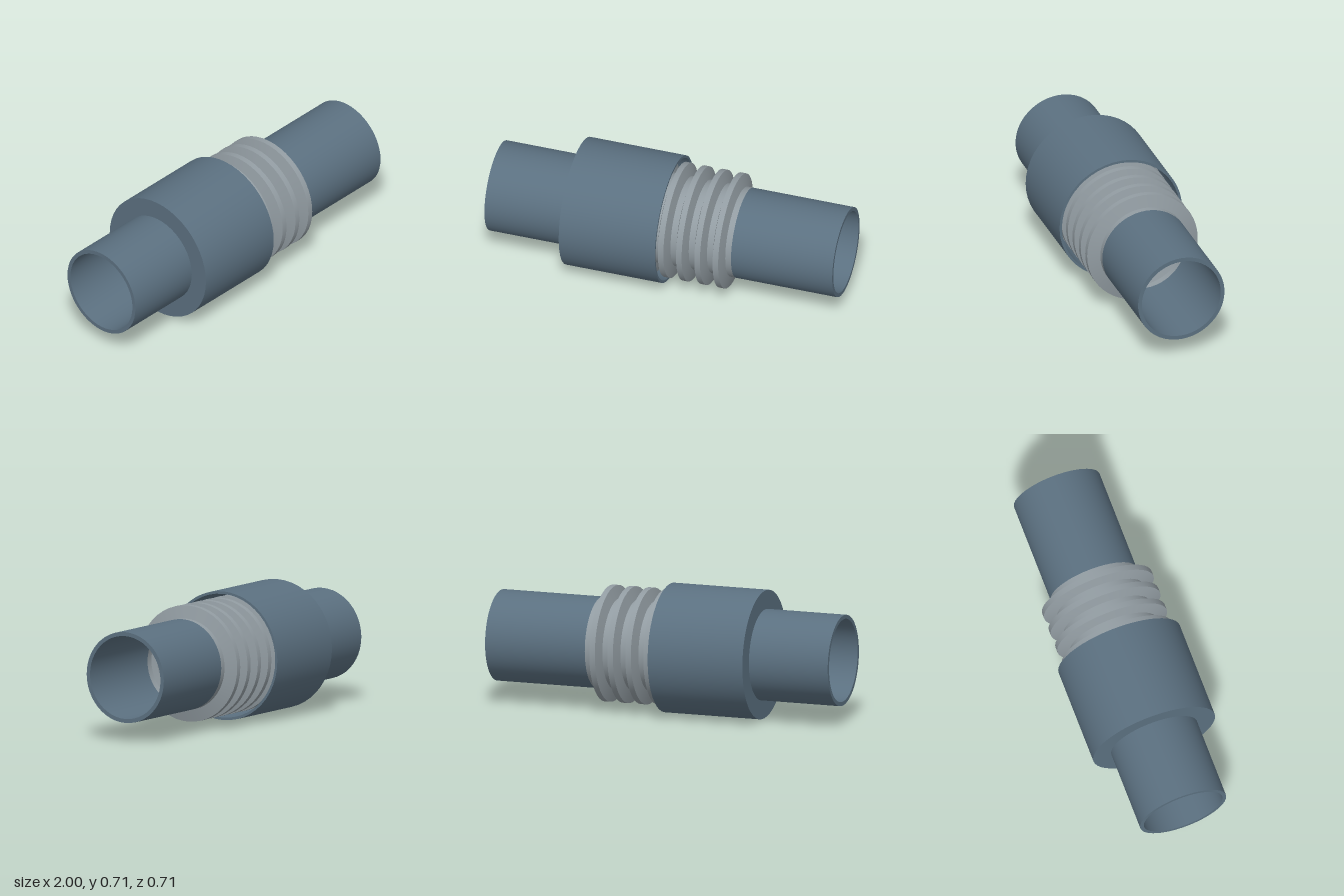
import * as THREE from 'three';
import { toCreasedNormals } from 'three/addons/utils/BufferGeometryUtils.js';

const AXIS_HEIGHT = 0.357;
const SEGMENTS = 48;
const BORE = 0.23, PIPE = 0.252;

const steel = new THREE.MeshStandardMaterial({ color: 0x5b7080 });
const bareMetal = new THREE.MeshStandardMaterial({ color: 0x929ca2 });

// Revolves a closed profile of [x, radius] pairs about the x axis.
// The outer wall runs towards +x, the inner wall runs back.
function revolve(name, profile, material) {
  const points = [...profile, profile[0]].map(([x, r]) => new THREE.Vector2(r, x));
  const geometry = new THREE.LatheGeometry(points, SEGMENTS).rotateZ(-Math.PI / 2);
  const mesh = new THREE.Mesh(toCreasedNormals(geometry, Math.PI / 6), material);
  mesh.name = name;
  return mesh;
}

const tube = (name, x0, x1) =>
  revolve(name, [[x0, PIPE], [x1, PIPE], [x1, BORE], [x0, BORE]], steel);

export function createModel() {
  const joint = new THREE.Group();
  joint.name = 'bellowsPipeJoint';
  joint.position.y = AXIS_HEIGHT;

  // Bellows: evenly spaced trapezoid folds between two collars
  const folds = 8, pitch = 0.105, end = 0.418, lastFold = 0.35;
  const start = lastFold - (folds - 1) * pitch - 0.07;
  const outer = [[start, PIPE]];
  const inner = [[start, BORE]];
  for (let i = folds - 1; i >= 0; i--) {
    const x = lastFold - i * pitch;
    outer.push([x - 0.035, PIPE], [x - 0.016, 0.322], [x + 0.016, 0.322], [x + 0.035, PIPE]);
    inner.push([x - 0.028, BORE], [x - 0.009, 0.3], [x + 0.009, 0.3], [x + 0.028, BORE]);
  }
  outer.push([end, PIPE]);
  inner.push([end, BORE]);
  joint.add(revolve('bellows', [...outer, ...inner.reverse()], bareMetal));

  // Pipe ends
  joint.add(tube('rightPipe', -1, start), tube('leftPipe', end, 1));

  // Protective sleeve: closed onto the pipe at one end, open over the folds
  joint.add(revolve('sleeve', [
    [-0.54, PIPE], [-0.54, 0.357], [0.013, 0.357],
    [0.013, 0.343], [-0.526, 0.343], [-0.526, PIPE],
  ], steel));

  const model = new THREE.Group();
  model.add(joint);
  return model;
}
